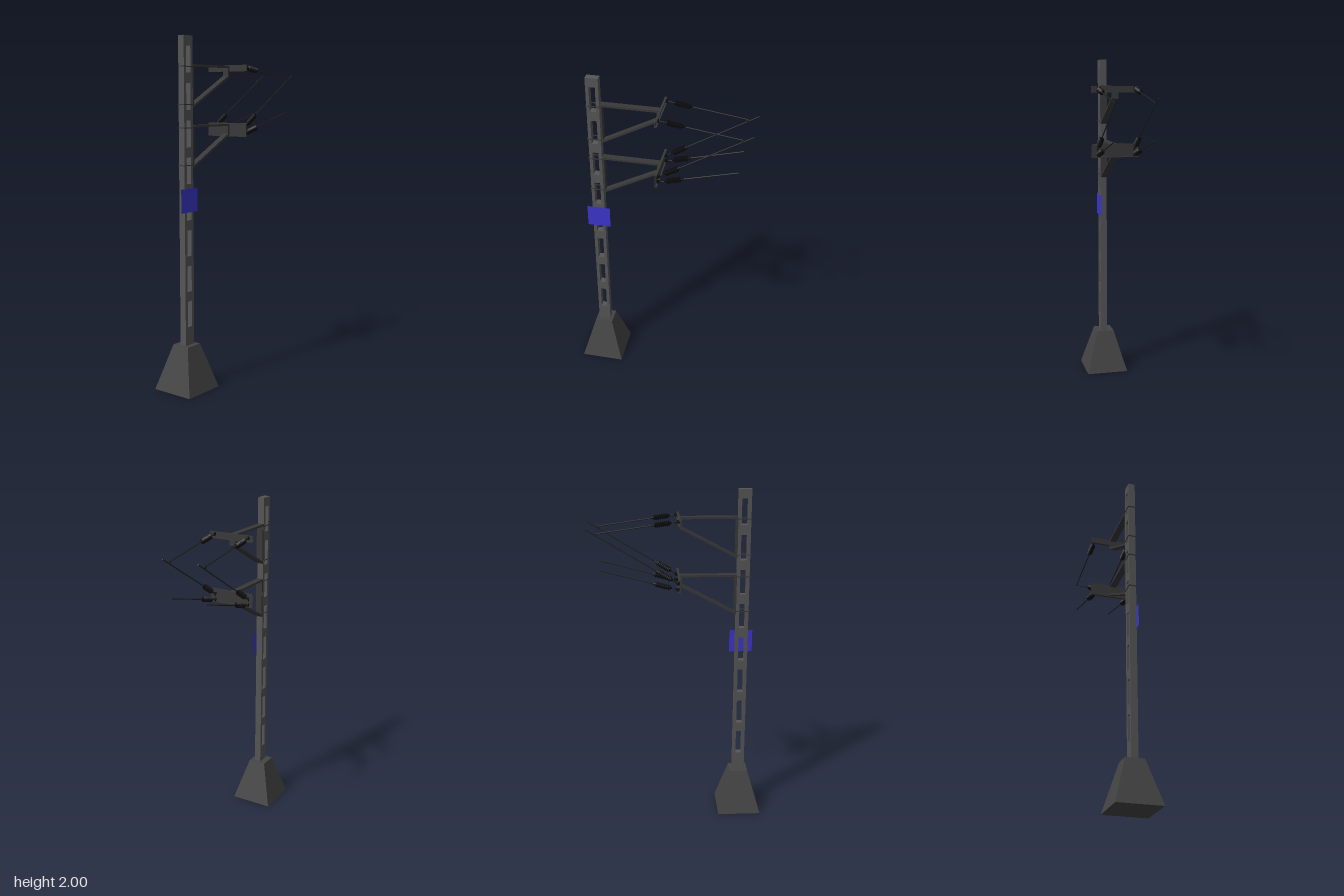
import * as THREE from 'three';

const mat = (color, extra = {}) => new THREE.MeshStandardMaterial({ color, ...extra });
const V = (x, y, z) => new THREE.Vector3(x, y, z);
const UP = V(0, 1, 0);

export function createModel() {
  const root = new THREE.Group();
  const poleMat = mat(0x555555);
  const baseMat = mat(0x444444, { flatShading: true });
  const steelMat = mat(0x383838);
  const wireMat = mat(0x222222);
  const insulatorMat = mat(0x0c0c0c, { side: THREE.DoubleSide });
  const signMat = mat(0x3c35cc, { side: THREE.DoubleSide });

  const add = (parent, name, geometry, material, x = 0, y = 0, z = 0) => {
    const mesh = new THREE.Mesh(geometry, material);
    mesh.name = name;
    mesh.position.set(x, y, z);
    parent.add(mesh);
    return mesh;
  };
  const box = (parent, name, size, pos, material = steelMat) =>
    add(parent, name, new THREE.BoxGeometry(...size), material, ...pos);
  // Group whose local +y runs from a towards b
  const aimed = (parent, name, a, b) => {
    const g = new THREE.Group();
    g.name = name;
    g.position.copy(a);
    g.quaternion.setFromUnitVectors(UP, b.clone().sub(a).normalize());
    parent.add(g);
    return g;
  };

  const PX = -0.003, PZ = 0.383;      // pole axis
  const PW = 0.04, PD = 0.073;        // pole width and depth

  // Tapered square footing
  const footing = new THREE.CylinderGeometry(0.108 / Math.SQRT2, 0.26 / Math.SQRT2, 0.262, 4);
  footing.rotateY(Math.PI / 4);
  add(root, 'footing', footing, baseMat, -0.008, 0.131, PZ);

  // Pole with a ladder of rectangular openings through its sides
  const rect = (Path, x0, y0, x1, y1) => {
    const p = new Path();
    p.moveTo(x0, y0);
    p.lineTo(x1, y0);
    p.lineTo(x1, y1);
    p.lineTo(x0, y1);
    p.closePath();
    return p;
  };
  const side = rect(THREE.Shape, -PD / 2, 0.25, PD / 2, 2);
  for (let i = 0; i < 8; i++) {
    const y = 0.37 + 0.2043 * i;
    side.holes.push(rect(THREE.Path, -0.018, y, 0.018, y + 0.147));
  }
  const poleGeo = new THREE.ExtrudeGeometry(side, { depth: PW, bevelEnabled: false });
  poleGeo.translate(0, 0, -PW / 2).rotateY(Math.PI / 2);
  add(root, 'pole', poleGeo, poleMat, PX, 0, PZ);

  // Sign on the left face of the pole
  const sign = new THREE.PlaneGeometry(0.137, 0.134);
  sign.rotateY(Math.PI / 2);
  add(root, 'sign', sign, signMat, PX + PW / 2 + 0.002, 1.094, PZ);

  // Clamp: two side rods and a strap across the front of the pole
  const clamp = (parent, y) => {
    const g = new THREE.Group();
    g.name = 'clamp';
    for (const s of [-1, 1])
      box(g, 'clampRod', [0.004, 0.005, PD + 0.012], [PX + s * (PW / 2 + 0.002), y, PZ]);
    box(g, 'clampStrap', [PW + 0.008, 0.005, 0.004], [PX, y, PZ + PD / 2 + 0.002]);
    parent.add(g);
  };

  // Triangular bracket carrying a channel-shaped crossbar
  const bracket = (name, top, barTop, barBottom) => {
    const g = new THREE.Group();
    g.name = name;
    const t = 0.012, foot = top - 0.238, zPole = 0.346, zEnd = 0.016;
    box(g, 'polePlate', [PW, 0.238, t], [PX, top - 0.119, zPole - t / 2]);
    box(g, 'arm', [PW, t, zPole - zEnd], [PX, top - t / 2, (zPole + zEnd) / 2]);
    box(g, 'endPlate', [PW, 0.068, t], [PX, top - 0.034, zEnd + t / 2]);
    const a = V(PX, foot + 0.007, zPole - 0.006), b = V(PX, top - 0.062, zEnd + 0.006);
    const len = a.distanceTo(b);
    const brace = aimed(g, 'brace', a, b);
    box(brace, 'braceBar', [PW, len, t], [0, len / 2, 0]);
    const h = barTop - barBottom, mid = (barTop + barBottom) / 2;
    box(g, 'crossbarWeb', [0.28, h, 0.005], [-0.001, mid, 0.0135]);
    for (const y of [barTop - 0.0025, barBottom + 0.0025])
      box(g, 'crossbarFlange', [0.28, 0.005, 0.013], [-0.001, y, 0.0095]);
    clamp(g, top - 0.013);
    clamp(g, foot + 0.018);
    root.add(g);
  };
  bracket('upperBracket', 1.846, 1.85, 1.813);
  bracket('lowerBracket', 1.511, 1.516, 1.437);

  // Ribbed insulator profile, from its near cap to its far cap
  const profile = [[0, 0], [0.005, 0], [0.007, 0.01]];
  for (let i = 0; i < 8; i++) {
    const y = 0.013 + i * 0.0105;
    profile.push([0.011, y], [0.0165, y + 0.003], [0.0165, y + 0.005], [0.011, y + 0.008]);
  }
  profile.push([0.007, 0.1], [0.004, 0.112], [0, 0.112]);
  const insulatorGeo = new THREE.LatheGeometry(profile.map(p => new THREE.Vector2(...p)), 14);
  const ringGeo = new THREE.TorusGeometry(0.0065, 0.002, 6, 12);

  // Strung line: eye plate, shackle, link, insulator and wire
  const line = (name, x, y0, zEnd, yEnd) => {
    const a = V(x, y0, 0.008), b = V(x, yEnd, zEnd);
    const len = a.distanceTo(b);
    const g = aimed(root, name, a, b);
    const rod = (part, r, from, to) =>
      add(g, part, new THREE.CylinderGeometry(r, r, to - from, 8), wireMat, 0, (from + to) / 2, 0);
    box(g, 'eyePlate', [0.005, 0.014, 0.02], [0, 0.004, 0], insulatorMat);
    add(g, 'shackle', ringGeo, insulatorMat, 0, 0.016, 0).rotation.x = Math.PI / 2;
    add(g, 'shackleRing', ringGeo, insulatorMat, 0, 0.024, 0);
    rod('link', 0.003, 0.018, 0.046);
    add(g, 'insulator', insulatorGeo, insulatorMat, 0, 0.042, 0);
    rod('wire', 0.0035, 0.15, len);
  };
  for (const x of [-0.115, 0.105]) {
    line('upperLine', x, 1.839, -0.45, 1.775);
    line('crossingLine', x, 1.484, -0.51, 1.8);
    line('lowerLine', x, 1.45, -0.44, 1.57);
    // Joint between the upper and crossing lines
    box(root, 'wireJoint', [0.01, 0.012, 0.012], [x, 1.77, -0.447], wireMat);
  }
  return root;
}
